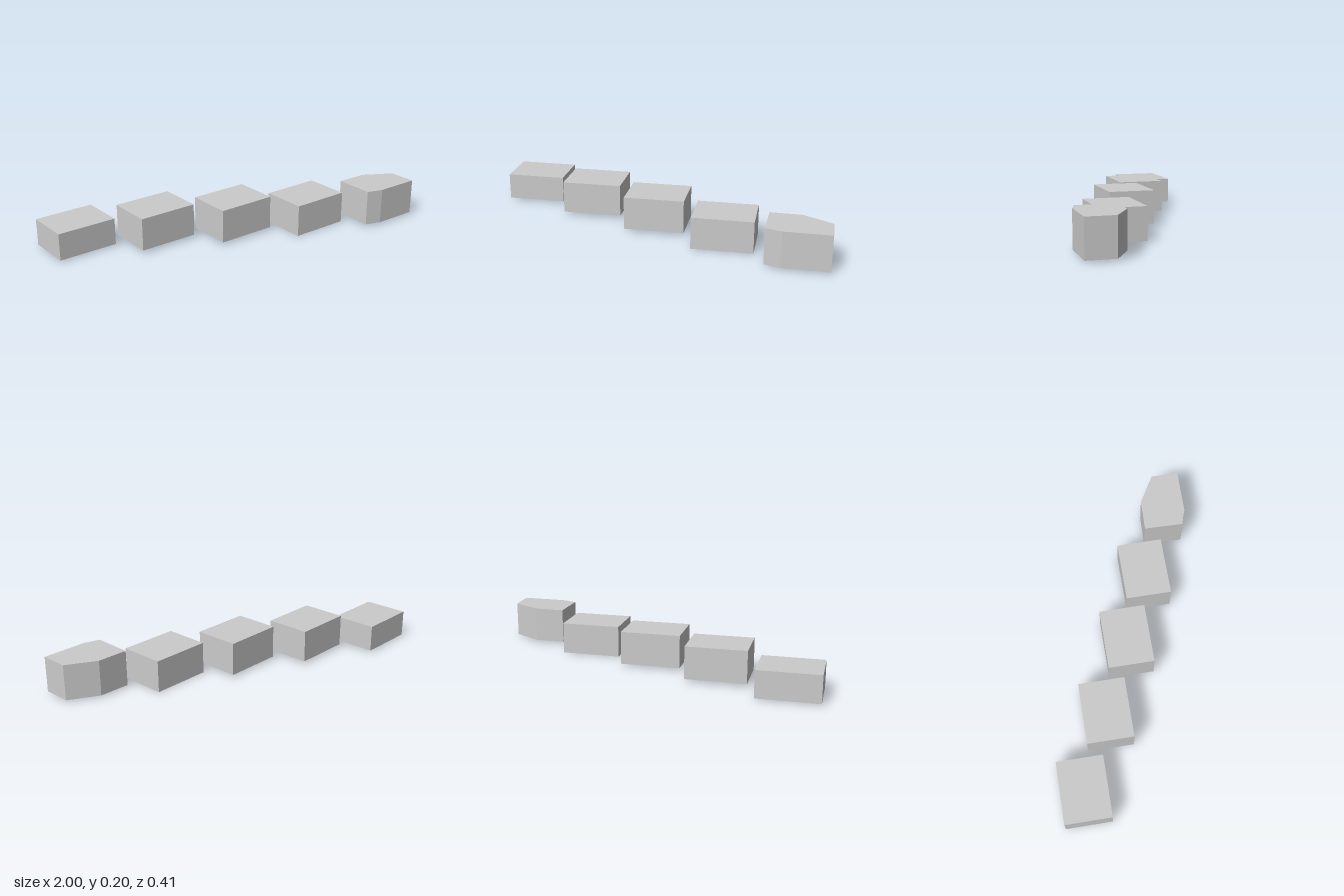
import * as THREE from 'three';

export function createModel() {
  const model = new THREE.Group();
  const material = new THREE.MeshStandardMaterial({ color: 0xcccccc, flatShading: true });

  // Row of turned blocks: centre x, centre z, bottom, top
  const blocks = [
    [-0.812, -0.039, 0.007, 0.147],
    [-0.407, -0.008, 0.015, 0.184],
    [0.001, 0.021, 0.013, 0.186],
    [0.405, 0.039, 0, 0.166],
  ];
  blocks.forEach(([x, z, bottom, top], i) => {
    const block = new THREE.Mesh(new THREE.BoxGeometry(0.313, top - bottom, 0.238), material);
    block.name = `block${i + 1}`;
    block.position.set(x, (bottom + top) / 2, z);
    block.rotation.y = THREE.MathUtils.degToRad(20);
    model.add(block);
  });

  // Six-sided end block: footprint as (x, -z), extruded upwards
  const footprint = [
    [0.626, -0.004], [0.692, -0.198], [0.778, -0.195],
    [1.0, -0.118], [0.95, 0.018], [0.781, 0.047],
  ].map(([x, y]) => new THREE.Vector2(x, y));
  const endGeometry = new THREE.ExtrudeGeometry(new THREE.Shape(footprint), {
    depth: 0.186, bevelEnabled: false,
  });
  endGeometry.rotateX(-Math.PI / 2);
  const endBlock = new THREE.Mesh(endGeometry, material);
  endBlock.name = 'facetedEndBlock';
  endBlock.position.y = 0.009;
  model.add(endBlock);

  return model;
}
